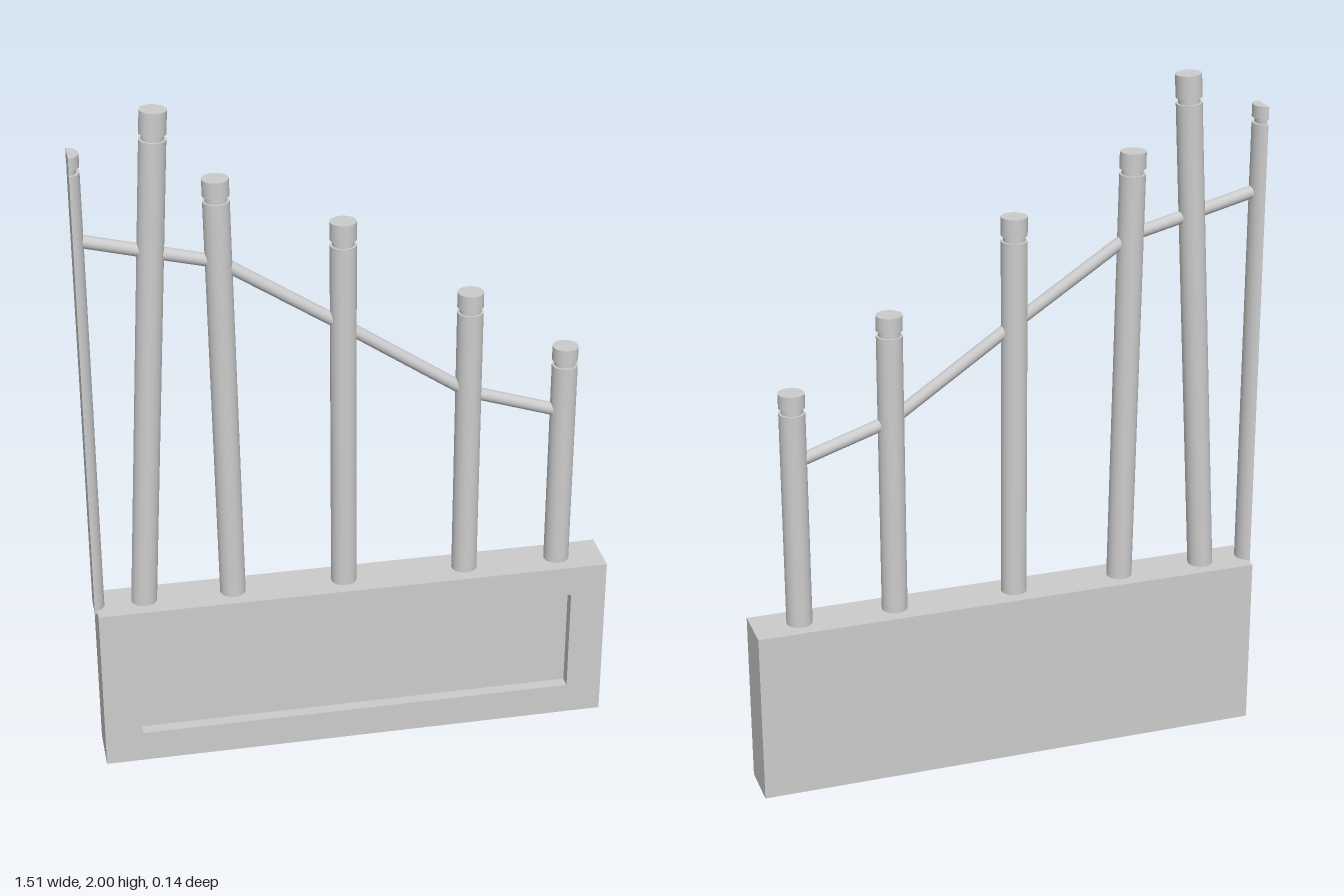
import * as THREE from 'three';

const material = new THREE.MeshStandardMaterial({ color: 0xcccccc });
const BASE_TOP = 0.51, R = 0.037, NECK = 0.016;

function addMesh(parent, geometry, name) {
  const mesh = new THREE.Mesh(geometry, material);
  mesh.name = name;
  parent.add(mesh);
  return mesh;
}

// Full round post: shaft, narrow neck and cap, leaning from x0 (foot) to x1 (top)
function roundPost(x0, x1, top, capHeight) {
  const post = new THREE.Group();
  post.name = 'post';
  const lean = Math.atan2(x1 - x0, top - BASE_TOP);
  const length = Math.hypot(x1 - x0, top - BASE_TOP);
  const sink = 0.01;
  const piece = (radius, from, to, name) => {
    const mesh = addMesh(post, new THREE.CylinderGeometry(radius, radius, to - from, 32), name);
    mesh.position.y = (from + to) / 2;
  };
  piece(R, -sink, length - capHeight - NECK, 'postShaft');
  piece(R * 0.82, length - capHeight - NECK, length - capHeight, 'postNeck');
  piece(R, length - capHeight, length, 'postCap');
  post.position.set(x0, BASE_TOP, 0);
  post.rotation.z = -lean;
  return post;
}

// Half-round wall post: flat side to -x, round side to +x
function halfPost(flatX, depth, top, capHeight) {
  const post = new THREE.Group();
  post.name = 'wallPost';
  const piece = (radius, bulge, from, to, name) => {
    const shape = new THREE.Shape();
    shape.absellipse(0, 0, bulge, radius, -Math.PI / 2, Math.PI / 2, false);
    shape.closePath();
    const g = new THREE.ExtrudeGeometry(shape, { depth: to - from, bevelEnabled: false, curveSegments: 16 });
    g.rotateX(-Math.PI / 2);
    g.translate(flatX, from, 0);
    addMesh(post, g, name);
  };
  piece(R, depth, BASE_TOP - 0.01, top - capHeight - NECK, 'wallPostShaft');
  piece(R * 0.82, depth * 0.7, top - capHeight - NECK, top - capHeight, 'wallPostNeck');
  piece(R, depth, top - capHeight, top, 'wallPostCap');
  return post;
}

// Base wall with a recessed panel in the front
function baseWall() {
  const base = new THREE.Group();
  base.name = 'base';
  const halfW = 0.75, halfD = 0.072, recess = 0.035;
  const outline = new THREE.Shape([
    [-halfW, 0], [halfW, 0], [halfW, BASE_TOP], [-halfW, BASE_TOP],
  ].map(p => new THREE.Vector2(...p)));
  outline.holes.push(new THREE.Path([
    [-0.64, 0.095], [-0.64, 0.417], [0.645, 0.417], [0.645, 0.095],
  ].map(p => new THREE.Vector2(...p))));
  const frame = new THREE.ExtrudeGeometry(outline, { depth: recess, bevelEnabled: false });
  frame.translate(0, 0, halfD - recess);
  addMesh(base, frame, 'panelFrame');
  const slabDepth = 2 * halfD - recess;
  const slab = addMesh(base, new THREE.BoxGeometry(2 * halfW, BASE_TOP, slabDepth), 'wallSlab');
  slab.position.set(0, BASE_TOP / 2, -halfD + slabDepth / 2);
  return base;
}

// Handrail: straight rods from post to post
function handrail() {
  const rail = new THREE.Group();
  rail.name = 'handrail';
  const points = [
    [-0.745, 1.647], [-0.558, 1.6], [-0.365, 1.553], [-0.027, 1.333], [0.333, 1.09], [0.613, 0.999],
  ].map(([x, y]) => new THREE.Vector3(x, y, 0));
  for (let i = 0; i < points.length - 1; i++) {
    const dir = points[i + 1].clone().sub(points[i]);
    const rod = addMesh(rail, new THREE.CylinderGeometry(0.018, 0.018, dir.length(), 16), 'railRod');
    rod.position.copy(points[i]).addScaledVector(dir, 0.5);
    rod.quaternion.setFromUnitVectors(new THREE.Vector3(0, 1, 0), dir.normalize());
  }
  return rail;
}

export function createModel() {
  const model = new THREE.Group();
  model.name = 'railingOnWall';
  model.add(baseWall(), handrail(), halfPost(-0.757, 0.031, 1.895, 0.036));
  // foot x, top x, top y, cap height
  const posts = [
    [-0.611, -0.528, 2.0, 0.066],
    [-0.353, -0.371, 1.795, 0.048],
    [-0.026, -0.026, 1.643, 0.053],
    [0.334, 0.334, 1.4, 0.044],
    [0.614, 0.614, 1.207, 0.042],
  ];
  for (const p of posts) model.add(roundPost(...p));
  return model;
}
